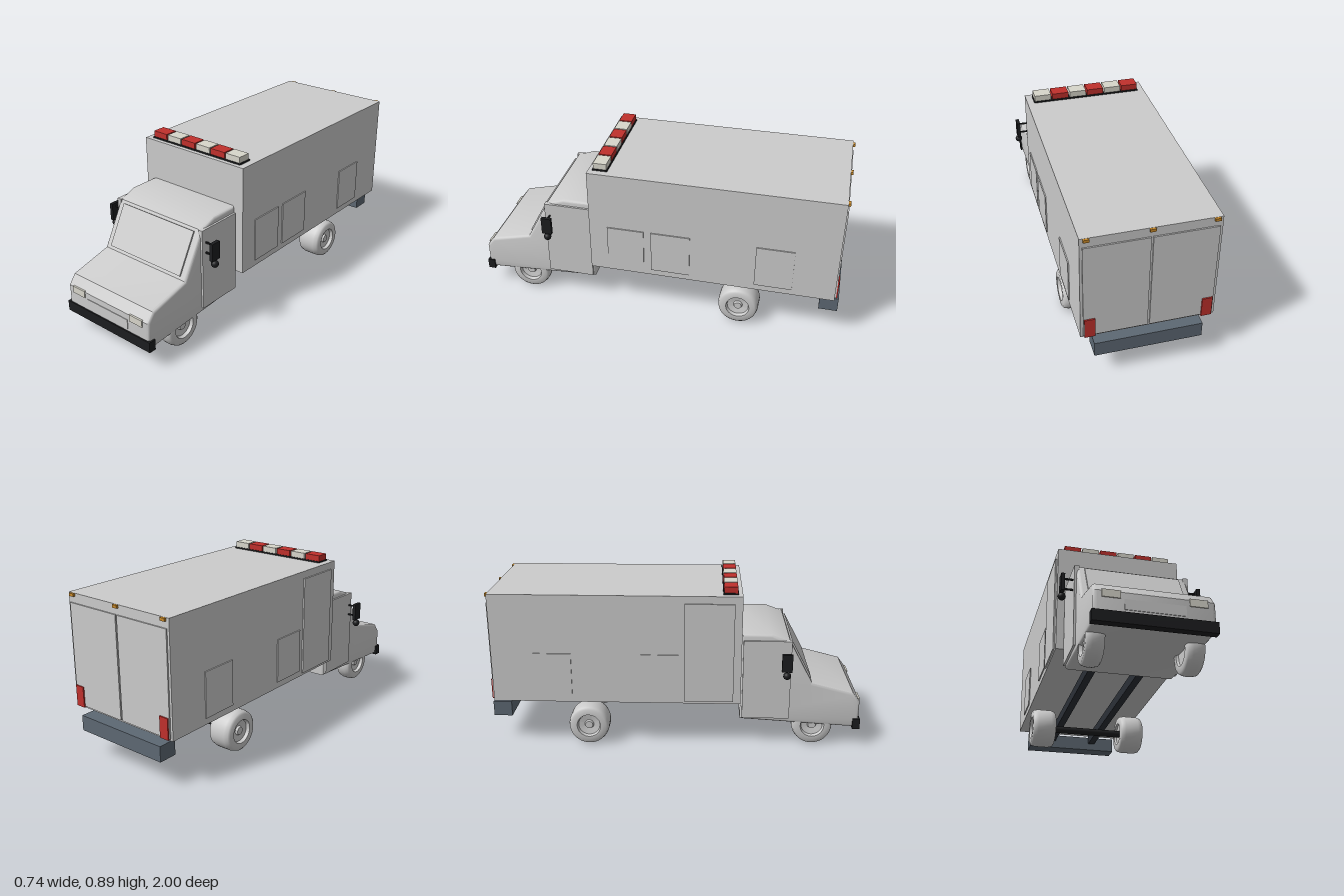
import * as THREE from 'three';
import { toCreasedNormals } from 'three/addons/utils/BufferGeometryUtils.js';

const paint = (color) => new THREE.MeshStandardMaterial({ color });
const grey = paint(0xcccccc);
const black = paint(0x1c1d1f);
const railDark = paint(0x2b3037);
const slate = paint(0x5d6873);
const red = paint(0xc0302c);
const white = paint(0xd8d6cb);
const amber = paint(0xc98a2a);

export function createModel() {
  const model = new THREE.Group();
  model.name = 'boxTruck';

  const add = (name, geometry, material, x = 0, y = 0, z = 0) => {
    const mesh = new THREE.Mesh(geometry, material);
    mesh.name = name;
    mesh.position.set(x, y, z);
    model.add(mesh);
    return mesh;
  };
  // box given by its limits on each axis
  const box = (name, material, [x0, x1], [y0, y1], [z0, z1]) =>
    add(name, new THREE.BoxGeometry(x1 - x0, y1 - y0, z1 - z0), material,
      (x0 + x1) / 2, (y0 + y1) / 2, (z0 + z1) / 2);
  // the same box on both sides
  const pair = (name, material, [x0, x1], y, z) => {
    box(name + 'Left', material, [x0, x1], y, z);
    box(name + 'Right', material, [-x1, -x0], y, z);
  };

  // cab: side profile (z, y) extruded across the width, with soft edges
  const profile = [[0.35, 0.145], [0.96, 0.108], [0.993, 0.15], [0.993, 0.255], [0.955, 0.305],
    [0.73, 0.362], [0.605, 0.595], [0.51, 0.63], [0.35, 0.63]];
  const bevel = 0.015;
  const cab = new THREE.ExtrudeGeometry(new THREE.Shape(profile.map((p) => new THREE.Vector2(...p))), {
    depth: 0.57 - 2 * bevel, bevelThickness: bevel, bevelSize: bevel, bevelOffset: -bevel, bevelSegments: 3,
  });
  cab.translate(0, 0, -(0.57 / 2 - bevel)).rotateY(-Math.PI / 2);
  add('cab', toCreasedNormals(cab, 0.6), grey);

  // windshield panel lying on the sloped face
  const windshield = add('windshield', new THREE.BoxGeometry(0.49, 0.232, 0.016), grey, 0, 0.4785, 0.6675);
  windshield.rotation.x = -Math.atan2(0.125, 0.233);

  // cab details
  pair('cabDoor', grey, [0.27, 0.296], [0.157, 0.598], [0.36, 0.615]);
  box('grille', grey, [-0.143, 0.143], [0.17, 0.222], [0.97, 0.996]);
  pair('headlight', white, [0.16, 0.246], [0.223, 0.261], [0.96, 0.998]);
  box('frontBumper', black, [-0.293, 0.293], [0.1, 0.157], [0.96, 1]);

  // mirrors on two arms, with a round spot mirror below
  pair('mirror', black, [0.342, 0.361], [0.45, 0.546], [0.56, 0.615]);
  for (const y of [0.47, 0.527]) pair('mirrorArm', black, [0.285, 0.35], [y - 0.004, y + 0.004], [0.584, 0.592]);
  for (const side of [-1, 1]) {
    add('spotMirror', new THREE.SphereGeometry(0.02, 20, 14), black, side * 0.352, 0.427, 0.588);
  }

  // cargo body with side hatches and rear doors
  box('cargoBody', grey, [-0.335, 0.335], [0.255, 0.85], [-0.975, 0.35]);
  for (const [z0, z1] of [[0.05, 0.25], [-0.2, 0.01], [-0.75, -0.55]]) {
    box('leftHatch', grey, [0.33, 0.341], [0.29, 0.53], [z0, z1]);
  }
  for (const [z0, z1] of [[-0.18, 0.02], [-0.75, -0.55]]) {
    box('rightHatch', grey, [-0.341, -0.33], [0.29, 0.53], [z0, z1]);
  }
  box('sideDoor', grey, [-0.343, -0.33], [0.27, 0.81], [0.05, 0.31]);
  pair('rearDoor', grey, [0.005, 0.322], [0.265, 0.8], [-0.982, -0.97]);
  pair('tailLight', red, [0.265, 0.317], [0.26, 0.37], [-0.989, -0.975]);
  for (const x of [-0.305, 0, 0.305]) {
    box('markerLight', amber, [x - 0.014, x + 0.014], [0.834, 0.849], [-0.987, -0.97]);
  }

  // roof light bar with alternating lenses
  box('lightBarBase', black, [-0.298, 0.298], [0.848, 0.858], [0.248, 0.328]);
  for (let i = 0; i < 6; i++) {
    const x = -0.295 + i * 0.0995;
    box('lightBarLens', i % 2 ? white : red, [x, x + 0.091], [0.858, 0.89], [0.253, 0.324]);
  }

  // chassis
  pair('chassisRail', railDark, [0.11, 0.15], [0.18, 0.235], [-0.91, 0.36]);
  box('rearBumper', slate, [-0.273, 0.273], [0.138, 0.22], [-1, -0.9]);
  const axle = new THREE.CylinderGeometry(0.02, 0.02, 0.5, 20).rotateZ(Math.PI / 2);
  add('rearAxle', axle, black, 0, 0.11, -0.47);

  // wheels: lathed tyre with round shoulders and a dished hub, outer face towards +x
  const wheelGeometry = (w) => {
    const h = w / 2;
    const points = [[0, -h + 0.012], [0.06, -h + 0.012], [0.064, -h], [0.094, -h], [0.104, -h + 0.008],
      [0.11, -h + 0.03], [0.11, h - 0.03], [0.104, h - 0.008], [0.094, h], [0.064, h],
      [0.058, h - 0.018], [0.025, h - 0.024], [0.02, h - 0.012], [0, h - 0.012]];
    const lathe = new THREE.LatheGeometry(points.map((p) => new THREE.Vector2(...p)), 40);
    return toCreasedNormals(lathe.rotateZ(-Math.PI / 2), 0.7);
  };
  for (const [name, width, x, z] of [['frontWheel', 0.09, 0.238, 0.745], ['rearWheel', 0.135, 0.263, -0.47]]) {
    for (const side of [-1, 1]) {
      const wheel = add(name, wheelGeometry(width), grey, side * x, 0.11, z);
      if (side < 0) wheel.rotation.y = Math.PI;
    }
  }
  return model;
}
